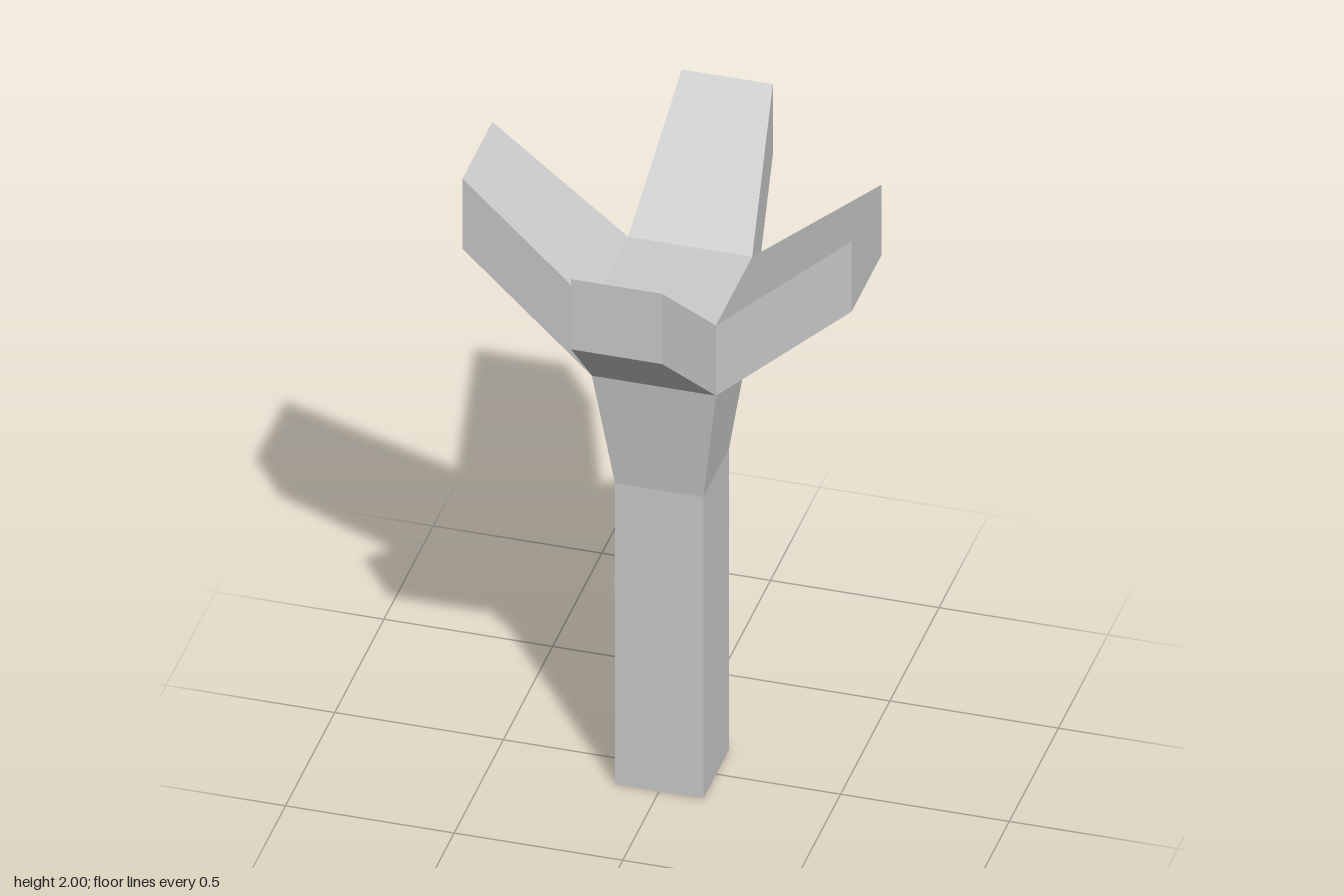
import * as THREE from 'three';

const material = new THREE.MeshStandardMaterial({ color: 0xcccccc, flatShading: true });

// Joins four-cornered rings, each counter-clockwise seen from the far end.
function loft(name, rings, capStart, capEnd) {
  const points = [];
  const quad = (a, b, c, d) => points.push(...a, ...b, ...c, ...a, ...c, ...d);
  for (let r = 0; r + 1 < rings.length; r++) {
    const p = rings[r], q = rings[r + 1];
    for (let i = 0; i < 4; i++) {
      const j = (i + 1) % 4;
      quad(p[i], p[j], q[j], q[i]);
    }
  }
  if (capStart) quad(...[...rings[0]].reverse());
  if (capEnd) quad(...rings[rings.length - 1]);
  const geometry = new THREE.BufferGeometry();
  geometry.setAttribute('position', new THREE.Float32BufferAttribute(points, 3));
  geometry.computeVertexNormals();
  const mesh = new THREE.Mesh(geometry, material);
  mesh.name = name;
  return mesh;
}

// Horizontal square ring of half-width h at height y.
const level = (y, h) => [[-h, y, h], [h, y, h], [h, y, -h], [-h, y, -h]];

// Upright rectangular ring at depth z.
const upright = (z, h, y0, y1) => [[-h, y0, z], [h, y0, z], [h, y1, z], [-h, y1, z]];

export function createModel() {
  const model = new THREE.Group();
  model.name = 'branchedPost';

  const CORE = 0.184, LOW = 1.42, HIGH = 1.66;

  // Square post flaring out to meet the branches
  model.add(loft('post', [level(0, 0.131), level(1.03, 0.131), level(LOW, CORE)], true, false));

  // Flat top between the branches
  model.add(loft('crotchTop', [level(HIGH, CORE)], false, true));

  // Four rising, tapering branches, one per side
  ['frontBranch', 'leftBranch', 'backBranch', 'rightBranch'].forEach((name, i) => {
    const [reach, half] = i % 2 ? [0.577, 0.152] : [0.562, 0.135];
    const branch = loft(name, [upright(CORE, CORE, LOW, HIGH), upright(reach, half, 1.76, 2)], false, true);
    branch.rotation.y = i * Math.PI / 2;
    model.add(branch);
  });

  return model;
}
